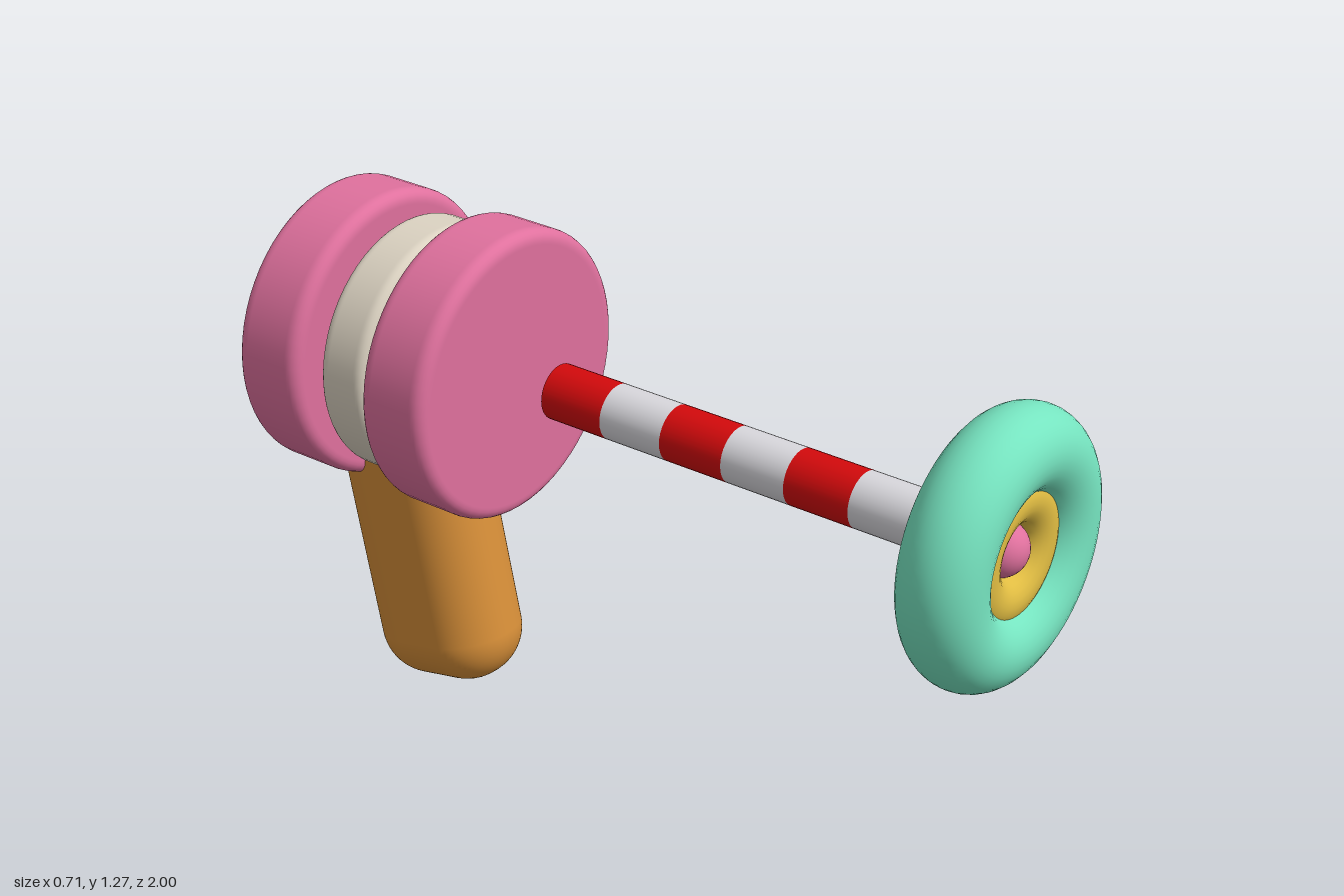
import * as THREE from 'three';
import { RoundedBoxGeometry } from 'three/addons/geometries/RoundedBoxGeometry.js';

const AXIS_Y = 0.908; // height of the barrel axis

function material(name, color) {
  const m = new THREE.MeshStandardMaterial({ color });
  m.name = name;
  return m;
}

// Round disc along z with softened rims
function discGeometry(radius, depth, bevel) {
  const h = depth / 2;
  const pts = [new THREE.Vector2(0, -h), new THREE.Vector2(radius - bevel - 0.005, -h)];
  for (const side of [-1, 1]) {
    for (let i = 0; i <= 6; i++) {
      const a = (side < 0 ? -Math.PI / 2 : 0) + (i / 6) * (Math.PI / 2);
      pts.push(new THREE.Vector2(
        radius - bevel + Math.cos(a) * bevel,
        side * (h - bevel) + Math.sin(a) * bevel));
    }
    if (side < 0) pts.push(new THREE.Vector2(radius, -h + bevel + 0.005), new THREE.Vector2(radius, h - bevel - 0.005));
  }
  pts.push(new THREE.Vector2(radius - bevel - 0.005, h), new THREE.Vector2(0, h));
  return new THREE.LatheGeometry(pts, 64).rotateX(Math.PI / 2);
}

export function createModel() {
  const model = new THREE.Group();
  model.name = 'toyBlaster';

  const pink = material('pink', 0xe0719e);
  const mint = material('mint', 0x76e4c0);
  const yellow = material('yellow', 0xe0bc42);
  const orange = material('orange', 0xd68e38);
  const red = material('red', 0xd40a0c);
  const white = material('white', 0xd9d8dd);
  const beige = material('beige', 0xdcd3c2);

  function add(name, geometry, mat, y, z) {
    const mesh = new THREE.Mesh(geometry, mat);
    mesh.name = name;
    mesh.position.set(0, y, z);
    model.add(mesh);
    return mesh;
  }

  // Ring muzzle: nested rings around a small ball
  add('muzzleRing', new THREE.TorusGeometry(0.225, 0.1, 32, 72), mint, AXIS_Y, 0.9);
  add('muzzleInnerRing', new THREE.TorusGeometry(0.118, 0.0635, 24, 56), yellow, AXIS_Y, 0.9);
  add('muzzleBall', new THREE.SphereGeometry(0.065, 32, 20), pink, AXIS_Y, 0.9);

  // Striped barrel
  const front = 0.725, back = -0.305, count = 6;
  const step = (front - back) / count;
  for (let i = 0; i < count; i++) {
    const segment = new THREE.CylinderGeometry(0.068, 0.068, step, 32).rotateX(Math.PI / 2);
    add('barrelStripe' + (i + 1), segment, i % 2 ? red : white, AXIS_Y, front - step * (i + 0.5));
  }

  // Body discs
  add('frontDisc', discGeometry(0.357, 0.187, 0.03), pink, AXIS_Y, -0.519);
  add('middleDisc', discGeometry(0.314, 0.136, 0.025), beige, AXIS_Y, -0.708);
  add('backDisc', discGeometry(0.357, 0.187, 0.03), pink, AXIS_Y, -0.906);

  // Tilted rounded grip
  const grip = add('grip', new RoundedBoxGeometry(0.27, 0.87, 0.375, 8, 0.13), orange, 0.44, -0.733);
  grip.rotation.x = -0.207;

  return model;
}
